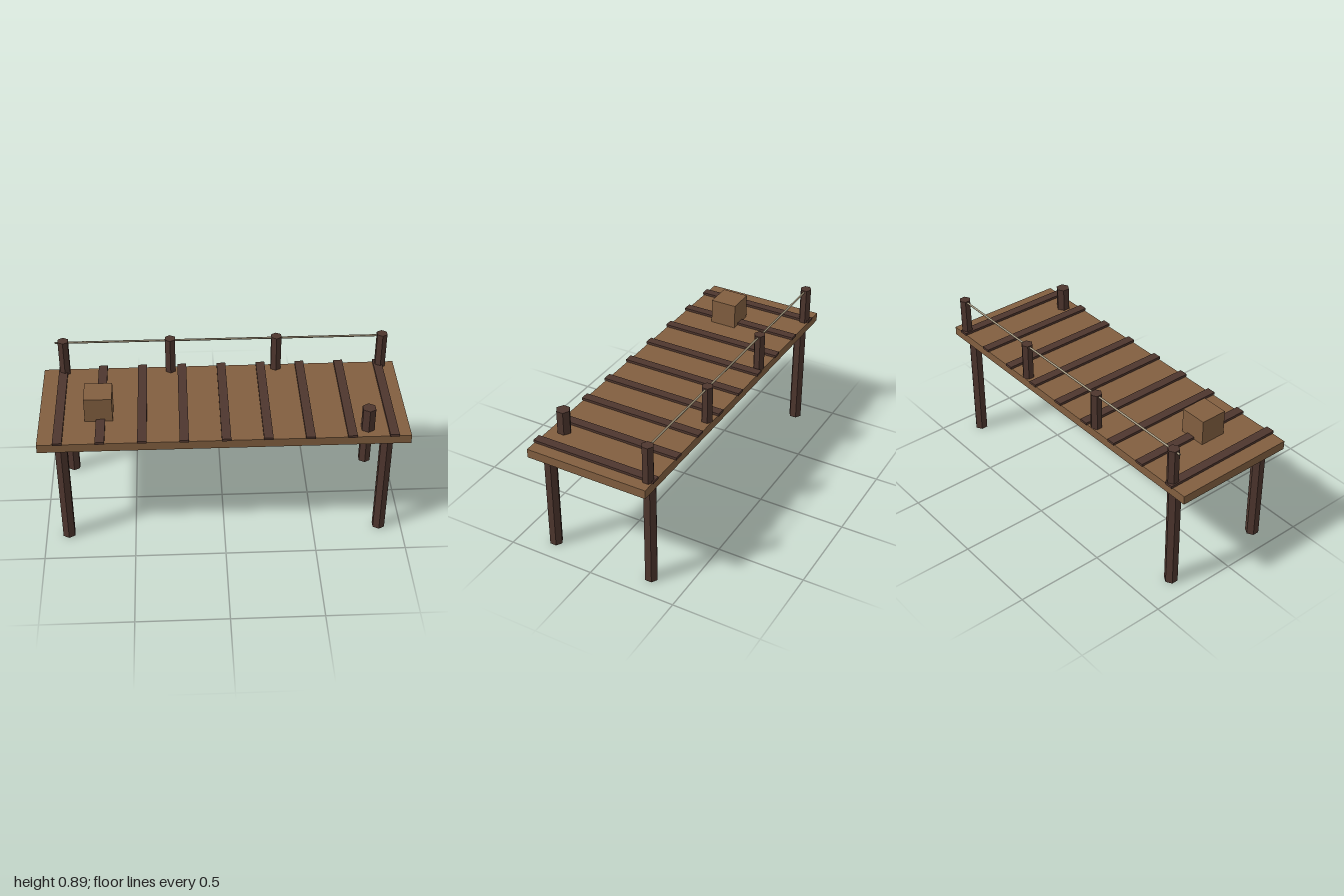
import * as THREE from 'three';

export function createModel() {
  const model = new THREE.Group();
  model.name = 'dock';

  const material = (name, color) => {
    const m = new THREE.MeshStandardMaterial({ color });
    m.name = name;
    return m;
  };
  const plankWood = material('plankWood', 0x825f40);
  const darkWood = material('darkWood', 0x4e362e);
  const ropeFibre = material('ropeFibre', 0x9c9076);

  const add = (name, geometry, mat, x, y, z) => {
    const mesh = new THREE.Mesh(geometry, mat);
    mesh.name = name;
    mesh.position.set(x, y, z);
    model.add(mesh);
    return mesh;
  };
  // Box standing on height y0
  const box = (name, mat, w, h, d, x, y0, z) =>
    add(name, new THREE.BoxGeometry(w, h, d), mat, x, y0 + h / 2, z);
  // Flat-sided hexagonal post from y0 to y1
  const post = (name, r, y0, y1, x, z) =>
    add(name, new THREE.CylinderGeometry(r, r, y1 - y0, 6).toNonIndexed(), darkWood, x, (y0 + y1) / 2, z)
      .geometry.computeVertexNormals();

  const deckBottom = 0.626, deckTop = 0.676;

  // Deck with raised cross slats
  box('deck', plankWood, 2, deckTop - deckBottom, 0.7, 0, deckBottom, 0);
  for (let i = 0; i < 9; i++) {
    box('slat', darkWood, 0.05, 0.014, 0.714, -0.89 + i * 0.2247, deckTop, 0);
  }

  // Legs
  for (const x of [-0.875, 0.875]) {
    for (const z of [-0.3, 0.3]) post('leg', 0.0375, 0, deckBottom, x, z);
  }

  // Railing posts along the back, joined by a rope
  for (let i = 0; i < 4; i++) post('railPost', 0.0325, deckTop, 0.89, -0.88 + i * 0.6, -0.32);
  const rope = add('rope', new THREE.CylinderGeometry(0.006, 0.006, 1.85, 6), ropeFibre, 0, 0.878, -0.32);
  rope.rotation.z = Math.PI / 2;

  // Mooring bollard and crate
  post('bollard', 0.039, deckTop, 0.812, 0.772, 0.275);
  box('crate', plankWood, 0.152, 0.145, 0.152, -0.675, 0.675, 0.076);

  return model;
}
